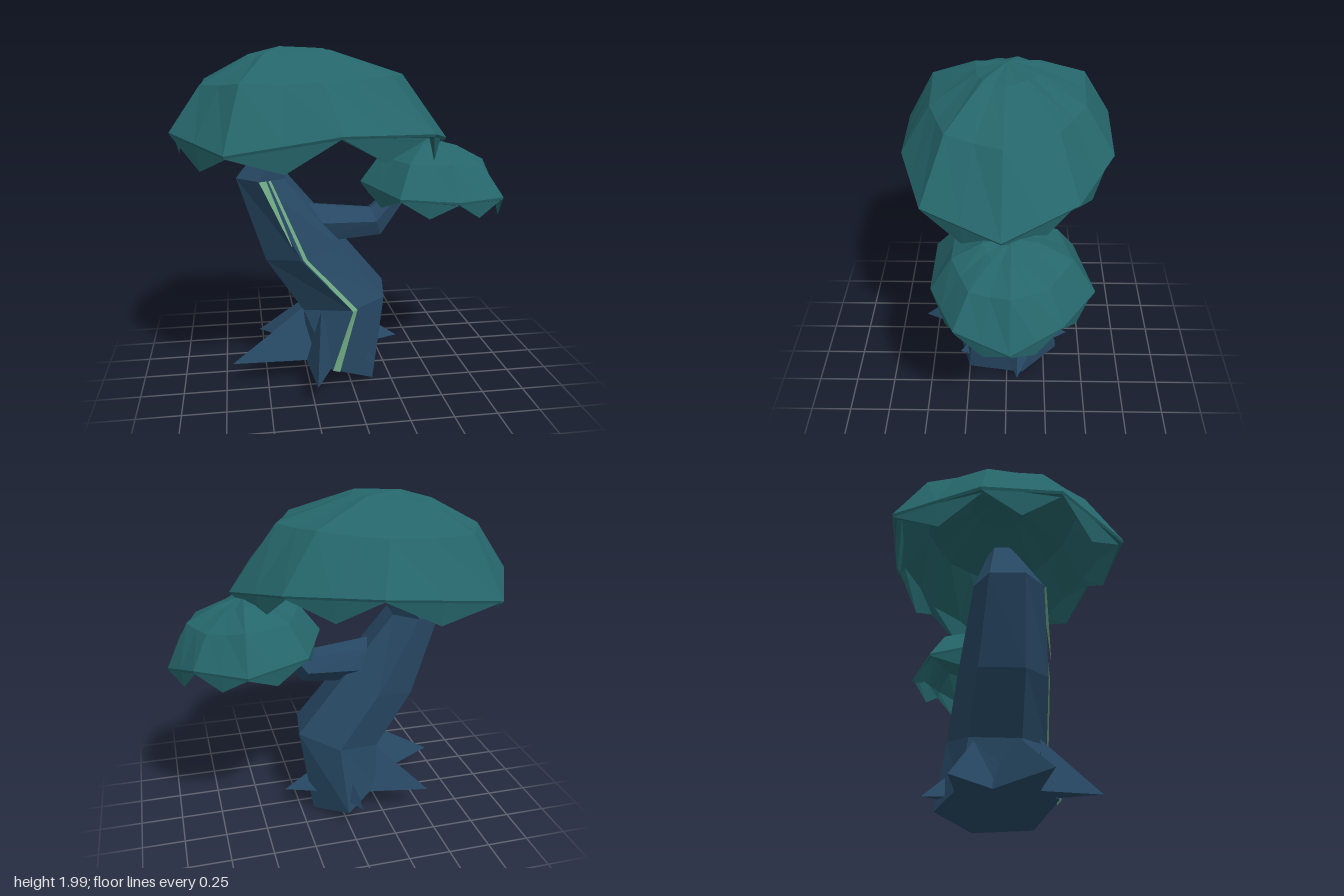
import * as THREE from 'three';
import { ConvexGeometry } from 'three/addons/geometries/ConvexGeometry.js';

const V = (x, y, z) => new THREE.Vector3(x, y, z);
const material = (color) => new THREE.MeshStandardMaterial({ color, flatShading: true, side: THREE.DoubleSide });
const bark = material(0x274864);
const leaf = material(0x25666b);
const moss = material(0x6fa882);

function addMesh(parent, name, geometry, mat) {
  const mesh = new THREE.Mesh(geometry, mat);
  mesh.name = name;
  parent.add(mesh);
}

// Skin a list of rings (or open strips) with equal point counts, top to bottom
function loft(rings, closed = true) {
  const pos = [];
  const n = rings[0].length;
  const tri = (a, b, c) => {
    if (a.distanceTo(b) > 1e-5 && b.distanceTo(c) > 1e-5 && c.distanceTo(a) > 1e-5) {
      for (const p of [a, b, c]) pos.push(p.x, p.y, p.z);
    }
  };
  for (let i = 0; i < rings.length - 1; i++) {
    for (let k = 0; k < (closed ? n : n - 1); k++) {
      const m = (k + 1) % n;
      const a = rings[i][k], b = rings[i][m], c = rings[i + 1][k], d = rings[i + 1][m];
      tri(a, b, c);
      tri(b, d, c);
    }
  }
  const geometry = new THREE.BufferGeometry();
  geometry.setAttribute('position', new THREE.Float32BufferAttribute(pos, 3));
  geometry.computeVertexNormals();
  return geometry;
}

// Six-sided ring, tilted in the xy plane; front is the angle of the front ridge
function hexRing([cx, cy, tiltDeg, rx, rz, front = 100]) {
  const t = THREE.MathUtils.degToRad(tiltDeg);
  return [front, 160, 220, 280, 340, 400].map((deg) => {
    const phi = THREE.MathUtils.degToRad(deg);
    const u = rx * Math.cos(phi);
    return V(cx + u * Math.cos(t), cy + u * Math.sin(t), 0.02 + rz * Math.sin(phi));
  });
}

// Close both ends of a limb by collapsing its end rings
function limb(rings) {
  const cap = (ring) => {
    const c = ring.reduce((s, p) => s.add(p), V(0, 0, 0)).divideScalar(ring.length);
    return ring.map(() => c);
  };
  return loft([cap(rings[0]), ...rings, cap(rings[rings.length - 1])]);
}

// Hollow faceted dome with one hanging tooth on every rim edge
function canopy({ corners, cx, cz, apexY, upperY, midY, upperScale, tilt, tooth, thick }) {
  const rim = corners.flatMap(([x, y, z], i) => {
    const p = V(x, y, z);
    const q = V(...corners[(i + 1) % corners.length]);
    return [p, p.clone().lerp(q, 0.5)];
  });
  const scaled = (s, yOf) => rim.map((p, k) => V(cx + (p.x - cx) * s, yOf(p, k), cz + (p.z - cz) * s));
  const level = (y) => (p, k) => y + tilt * (p.x - cx) + (k % 4 === 0 ? 0.01 : -0.005);
  return loft([
    scaled(0, () => apexY),
    scaled(upperScale, level(upperY)),
    scaled(0.72, level(midY)),
    rim,
    scaled(0.99, (p) => p.y - 0.015),
    scaled(0.96, (p, k) => p.y - (k % 2 ? tooth : 0.02)),
    scaled(0.92, (p) => p.y + 0.02),
    scaled(0.69, level(midY - thick)),
    scaled(upperScale, level(upperY - thick)),
    scaled(0, () => apexY - thick),
  ]);
}

export function createModel() {
  const tree = new THREE.Group();
  tree.name = 'tree';

  // Trunk: centre x, centre y, tilt, radius across, radius in z, front ridge angle
  const trunk = [
    [-0.27, 1.62, -15, 0.07, 0.09],
    [-0.5, 1.26, 0, 0.16, 0.2],
    [-0.25, 0.81, 11, 0.26, 0.26],
    [-0.01, 0.49, 11, 0.285, 0.295, 89],
    [-0.04, 0.1, -24, 0.245, 0.36, 114],
  ].map(hexRing);
  addMesh(tree, 'trunk', limb(trunk), bark);

  // Side branch, bending up into the small canopy
  const branch = [
    [0.42, 1.23, -45, 0.04, 0.045],
    [0.18, 0.96, -70, 0.1, 0.105],
    [-0.25, 0.96, -90, 0.14, 0.13],
  ].map(hexRing);
  addMesh(tree, 'branch', limb(branch), bark);

  // Moss stripes beside the front ridge of the trunk
  const onFace = (ring, f) => ring[0].clone().lerp(ring[5], f).add(V(0.004, 0, 0.012));
  const strip = (a, b, c) => [onFace(a, b), onFace(a, c)];
  const upperEnd = trunk[1].map((p, k) => p.clone().lerp(trunk[2][k], 0.8));
  addMesh(tree, 'longMossStripe', loft([
    strip(trunk[1], 0.36, 0.46),
    strip(trunk[2], 0.03, 0.12),
    strip(trunk[3], 0, 0.13),
    strip(trunk[4], 0, 0.17),
  ], false), moss);
  addMesh(tree, 'shortMossStripe', loft([
    strip(trunk[1], 0, 0.28),
    strip(upperEnd, -0.06, -0.04),
  ], false), moss);

  // Pointed roots: tip x, tip z, foot x, foot z, top height, half width
  const roots = new THREE.Group();
  roots.name = 'roots';
  tree.add(roots);
  for (const [tx, tz, fx, fz, top, w] of [
    [-0.71, 0.2, -0.22, 0.08, 0.48, 0.14],
    [-0.53, -0.3, -0.19, -0.12, 0.46, 0.12],
    [-0.24, 0.57, -0.18, 0.24, 0.47, 0.09],
    [0.35, -0.07, 0.16, -0.07, 0.28, 0.07],
    [-0.07, -0.41, -0.03, -0.24, 0.3, 0.06],
    [0.12, 0.31, 0.09, 0.21, 0.27, 0.07],
  ]) {
    const side = V(fz - tz, 0, tx - fx).normalize().multiplyScalar(w);
    const foot = V(fx, 0.15, fz);
    addMesh(roots, 'root', new ConvexGeometry([
      V(tx, 0.15, tz), V(fx, top, fz), foot.clone().add(side), foot.clone().sub(side),
    ]), bark);
  }

  // Large canopy
  addMesh(tree, 'largeCanopy', canopy({
    corners: [
      [-0.75, 1.5, -0.65], [-0.1, 1.55, -0.62], [0.39, 1.54, -0.39],
      [0.62, 1.46, 0.02], [0.43, 1.54, 0.45], [-0.1, 1.56, 0.61],
      [-0.71, 1.48, 0.64], [-1, 1.55, 0.23], [-0.98, 1.55, -0.2],
    ],
    cx: -0.38, cz: 0, apexY: 2, upperY: 1.96, midY: 1.82,
    upperScale: 0.29, tilt: 0.025, tooth: 0.15, thick: 0.045,
  }), leaf);

  // Small canopy
  addMesh(tree, 'smallCanopy', canopy({
    corners: [
      [0.6, 1.13, -0.48], [0.87, 1.13, -0.3], [1, 1.05, -0.03], [0.91, 1.13, 0.26],
      [0.6, 1.14, 0.4], [0.25, 1.17, 0.39], [0.1, 1.2, -0.02], [0.25, 1.17, -0.38],
    ],
    cx: 0.55, cz: -0.03, apexY: 1.445, upperY: 1.42, midY: 1.33,
    upperScale: 0.34, tilt: -0.06, tooth: 0.11, thick: 0.035,
  }), leaf);

  return tree;
}
